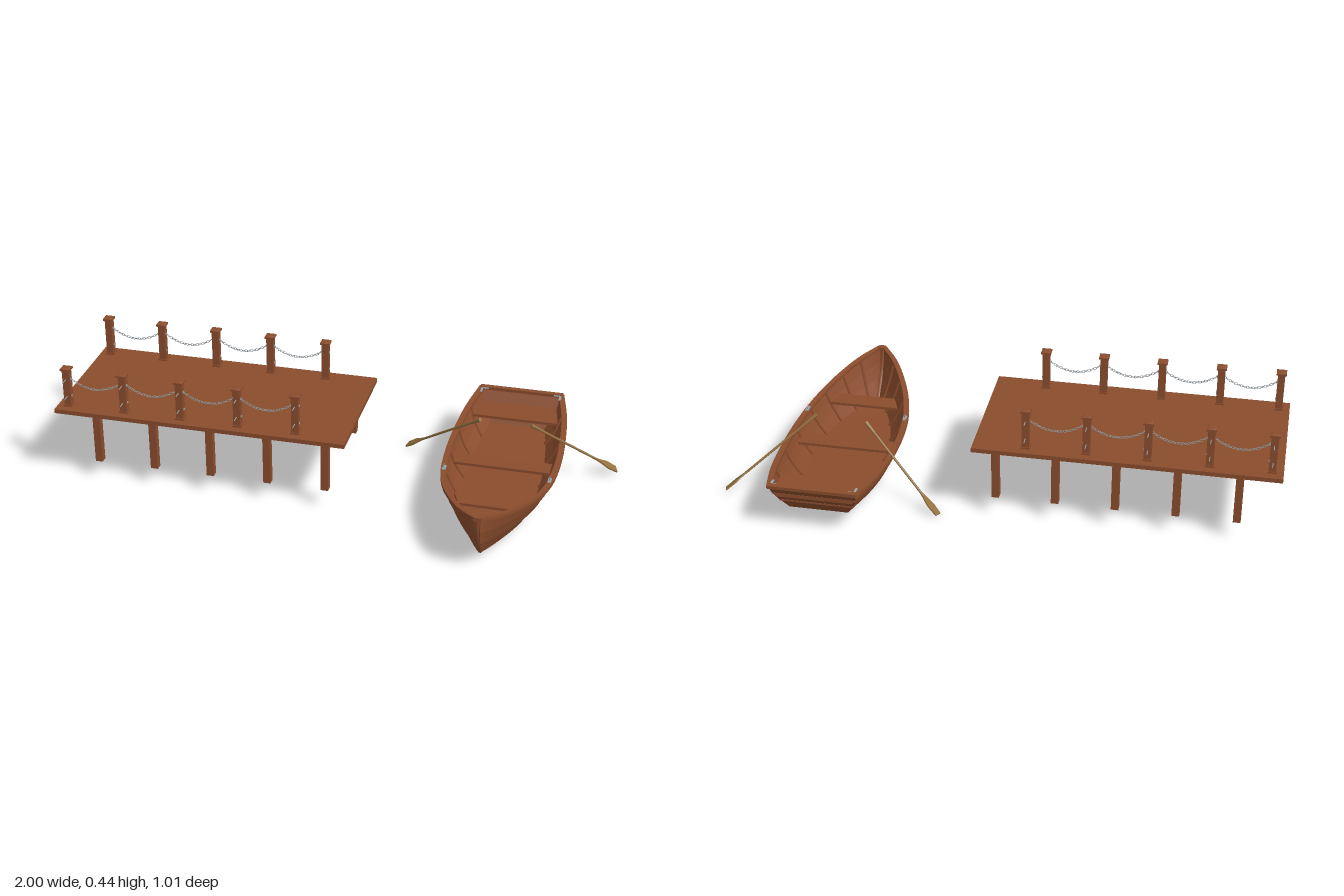
import * as THREE from 'three';

const mat = (name, color, side = THREE.FrontSide) => {
  const m = new THREE.MeshStandardMaterial({ color, side });
  m.name = name;
  return m;
};
const V = (x, y, z) => new THREE.Vector3(x, y, z);

export function createModel() {
  const wood = mat('brown wood', 0x8b4d2d);
  const hullWood = mat('hull wood', 0x8b4d2d, THREE.DoubleSide);
  const oarWood = mat('oar wood', 0x94713f);
  const metal = mat('grey metal', 0x9aa4aa);
  const root = new THREE.Group();

  const add = (parent, name, geo, m, x = 0, y = 0, z = 0) => {
    const mesh = new THREE.Mesh(geo, m);
    mesh.name = name;
    mesh.position.set(x, y, z);
    parent.add(mesh);
    return mesh;
  };
  const box = (w, h, d) => new THREE.BoxGeometry(w, h, d);

  // ---------- Dock ----------
  const dock = new THREE.Group();
  dock.name = 'dock';
  root.add(dock);
  add(dock, 'deck', box(1.08, 0.016, 0.52), wood, -0.46, 0.278, -0.018);
  const link = new THREE.TorusGeometry(0.0042, 0.0011, 4, 8).scale(1.5, 1, 1);
  for (const [z, out] of [[0.197, 1], [-0.233, -1]]) {
    for (let i = 0; i < 5; i++) {
      add(dock, 'piling', box(0.027, 0.2, 0.027), wood, -0.855 + i * 0.2138, 0.17, z);
      const x = -0.96 + i * 0.2133;
      add(dock, 'railPost', box(0.026, 0.145, 0.026), wood, x, 0.3585, z);
      add(dock, 'postFoot', box(0.032, 0.006, 0.032), wood, x, 0.289, z);
      add(dock, 'postCap', box(0.036, 0.007, 0.036), wood, x, 0.4335, z);
      const tip = add(dock, 'capTop', new THREE.CylinderGeometry(0.015, 0.024, 0.004, 4).rotateY(Math.PI / 4),
        wood, x, 0.438, z);
      tip.scale.y = 0.8;
      // pegs and rings that carry the chain
      for (const y of [0.395, 0.326]) {
        add(dock, 'peg', new THREE.CylinderGeometry(0.0018, 0.0018, 0.026, 6).rotateX(Math.PI / 2),
          metal, x, y, z + out * 0.026);
        add(dock, 'ring', new THREE.TorusGeometry(0.004, 0.0014, 4, 8).rotateY(Math.PI / 2),
          metal, x + 0.014, y, z);
      }
      // sagging chain to the next post
      if (i < 4) {
        const n = 18, span = 0.187;
        for (let k = 0; k <= n; k++) {
          const u = (k / n) * 2 - 1;
          const l = add(dock, 'chainLink', link, metal, x + 0.1067 + u * span / 2, 0.361 + 0.034 * u * u, z);
          l.rotation.set(k % 2 ? Math.PI / 2 : 0, 0, Math.atan(0.068 * u / (span / 2)), 'ZYX');
        }
      }
    }
  }

  // ---------- Boat ----------
  const boat = new THREE.Group();
  boat.name = 'boat';
  boat.position.x = 0.598;
  root.add(boat);

  // stations from stern to bow: half width, height, z at the chine and at the sheer
  const chine = new THREE.CatmullRomCurve3([
    V(0.105, 0.065, -0.43), V(0.125, 0.05, -0.32), V(0.138, 0.035, -0.19), V(0.142, 0.033, -0.05),
    V(0.128, 0.033, 0.1), V(0.1, 0.033, 0.21), V(0.063, 0.033, 0.3), V(0.028, 0.033, 0.37), V(0.007, 0.035, 0.41)]);
  const sheer = new THREE.CatmullRomCurve3([
    V(0.155, 0.184, -0.497), V(0.184, 0.166, -0.36), V(0.2, 0.151, -0.2), V(0.203, 0.145, -0.05),
    V(0.192, 0.147, 0.1), V(0.165, 0.16, 0.22), V(0.122, 0.181, 0.33), V(0.068, 0.202, 0.43), V(0.01, 0.219, 0.5)]);
  const hullPoint = (t, v, side, o = 0, dy = 0) => {
    const p = chine.getPoint(t).lerp(sheer.getPoint(t), v);
    const bulge = Math.sin(Math.PI * v);
    p.x = side * Math.max(0.003, p.x + bulge * 0.01 * (1 - t * t) + o);
    p.y += dy;
    p.z += bulge * 0.024 * t ** 6;
    return p;
  };
  // ruled surface between two edge functions
  const ruled = (name, a, b, n = 32) => {
    const pos = [], idx = [];
    for (let k = 0; k <= n; k++) {
      pos.push(...a(k / n).toArray(), ...b(k / n).toArray());
      const i = 2 * k;
      if (k < n) idx.push(i, i + 1, i + 3, i, i + 3, i + 2);
    }
    const g = new THREE.BufferGeometry();
    g.setAttribute('position', new THREE.Float32BufferAttribute(pos, 3));
    g.setIndex(idx);
    g.computeVertexNormals();
    return add(boat, name, g, hullWood);
  };
  const sided = (name, s, a, b) => (s > 0 ? ruled(name, a, b) : ruled(name, b, a));

  for (const s of [1, -1]) {
    // three overlapping strakes
    const rows = [[0, 0.002], [0.36, 0], [0.36, 0.004], [0.69, 0], [0.69, 0.004], [1, 0]];
    for (let j = 0; j < rows.length - 1; j++) {
      const [v0, o0] = rows[j], [v1, o1] = rows[j + 1];
      sided('strake', s, t => hullPoint(t, v0, s, o0), t => hullPoint(t, v1, s, o1));
    }
    // inner lining
    for (const [v0, v1] of [[0.08, 0.4], [0.4, 0.7], [0.7, 1]])
      sided('lining', -s, t => hullPoint(t, v0, s, -0.01), t => hullPoint(t, v1, s, -0.01));
    // gunwale with a square section
    const c = [[0.007, -0.006], [0.007, 0.006], [-0.014, 0.006], [-0.014, -0.006], [0.007, -0.006]];
    for (let j = 0; j < 4; j++)
      sided('gunwale', s, t => hullPoint(t, 1, s, ...c[j]), t => hullPoint(t, 1, s, ...c[j + 1]));
    // ribs
    for (const t of [0.12, 0.25, 0.38, 0.5, 0.62, 0.74, 0.85]) {
      const pts = [0.08, 0.35, 0.65, 0.97].map(v => hullPoint(t, v, s, -0.012));
      add(boat, 'rib', new THREE.TubeGeometry(new THREE.CatmullRomCurve3(pts), 6, 0.006, 4), wood);
    }
    // oarlocks and stern corner brackets
    add(boat, 'oarlockPlate', box(0.012, 0.004, 0.03), metal, s * 0.188, 0.156, 0.09);
    for (const dz of [-0.006, 0.006])
      add(boat, 'oarlockHorn', new THREE.CylinderGeometry(0.0016, 0.0016, 0.014, 6), metal, s * 0.188, 0.163, 0.09 + dz);
    add(boat, 'cornerBracket', box(0.026, 0.004, 0.008), metal, s * 0.138, 0.188, -0.482);
    add(boat, 'cornerBracket', box(0.008, 0.004, 0.03), metal, s * 0.15, 0.186, -0.468);
  }

  // bottom and floor
  ruled('bottom', t => hullPoint(t, 0, -1, 0.002), t => hullPoint(t, 0, 1, 0.002));
  ruled('floor', t => hullPoint(t, 0.08, 1, -0.01), t => hullPoint(t, 0.08, -1, -0.01));
  // transom, its inner face, and the stem
  ruled('transom', v => hullPoint(0, v, 1), v => hullPoint(0, v, -1), 8);
  ruled('transomInside', v => hullPoint(0.015, v, -1), v => hullPoint(0.015, v, 1), 8);
  ruled('bowFace', v => hullPoint(1, v, -1), v => hullPoint(1, v, 1), 8);
  add(boat, 'transomCap', box(0.316, 0.012, 0.02), wood, 0, 0.186, -0.493);
  for (const v of [0.36, 0.69]) {
    const p = hullPoint(0, v, 1);
    add(boat, 'transomBatten', box(p.x * 2, 0.006, 0.006), wood, 0, p.y, p.z);
  }
  const stem = [0, 0.25, 0.5, 0.75, 1].map(v => {
    const p = hullPoint(1, v, 1);
    return V(0, p.y + 0.002 * v, p.z - 0.004);
  });
  add(boat, 'stem', new THREE.TubeGeometry(new THREE.CatmullRomCurve3(stem), 12, 0.009, 6), wood);
  add(boat, 'stemHead', box(0.024, 0.014, 0.022), wood, 0, 0.219, 0.494);

  // seats: back half width, front half width, back z, front z, height
  for (const [name, w0, w1, z0, z1, y] of [
    ['sternSeat', 0.137, 0.16, -0.476, -0.345, 0.134],
    ['middleSeat', 0.174, 0.174, -0.09, -0.022, 0.108],
    ['bowSeat', 0.132, 0.104, 0.2, 0.268, 0.118]]) {
    const sh = new THREE.Shape([[-w0, -z0], [w0, -z0], [w1, -z1], [-w1, -z1]].map(p => new THREE.Vector2(...p)));
    const g = new THREE.ExtrudeGeometry(sh, { depth: 0.01, bevelEnabled: false }).rotateX(-Math.PI / 2);
    add(boat, name, g, wood, 0, y, 0);
  }

  // ---------- Oars ----------
  const bladeShape = new THREE.Shape();
  bladeShape.moveTo(-0.005, 0);
  bladeShape.bezierCurveTo(-0.008, 0.03, -0.018, 0.04, -0.018, 0.06);
  bladeShape.lineTo(-0.015, 0.1);
  bladeShape.lineTo(0.015, 0.1);
  bladeShape.lineTo(0.018, 0.06);
  bladeShape.bezierCurveTo(0.018, 0.04, 0.008, 0.03, 0.005, 0);
  const makeOar = (name, grip, tip) => {
    const oar = new THREE.Group();
    oar.name = name;
    const dir = tip.clone().sub(grip), len = dir.length();
    dir.normalize();
    const wide = V(0, 0, 1).addScaledVector(dir, -dir.z).normalize();
    oar.quaternion.setFromRotationMatrix(
      new THREE.Matrix4().makeBasis(wide, dir, wide.clone().cross(dir)));
    oar.position.copy(grip);
    add(oar, 'shaft', new THREE.CylinderGeometry(0.0045, 0.0045, len - 0.08, 8), oarWood, 0, (len - 0.08) / 2, 0);
    add(oar, 'handle', new THREE.CylinderGeometry(0.0055, 0.0075, 0.05, 8), oarWood, 0, 0.025, 0);
    add(oar, 'blade', new THREE.ExtrudeGeometry(bladeShape, { depth: 0.005, bevelEnabled: false }),
      oarWood, 0, len - 0.1, -0.0025);
    root.add(oar);
  };
  makeOar('leftOar', V(0.687, 0.257, -0.108), V(0.992, 0.013, -0.288));
  makeOar('rightOar', V(0.5, 0.25, -0.117), V(0.198, 0.006, -0.298));

  return root;
}
